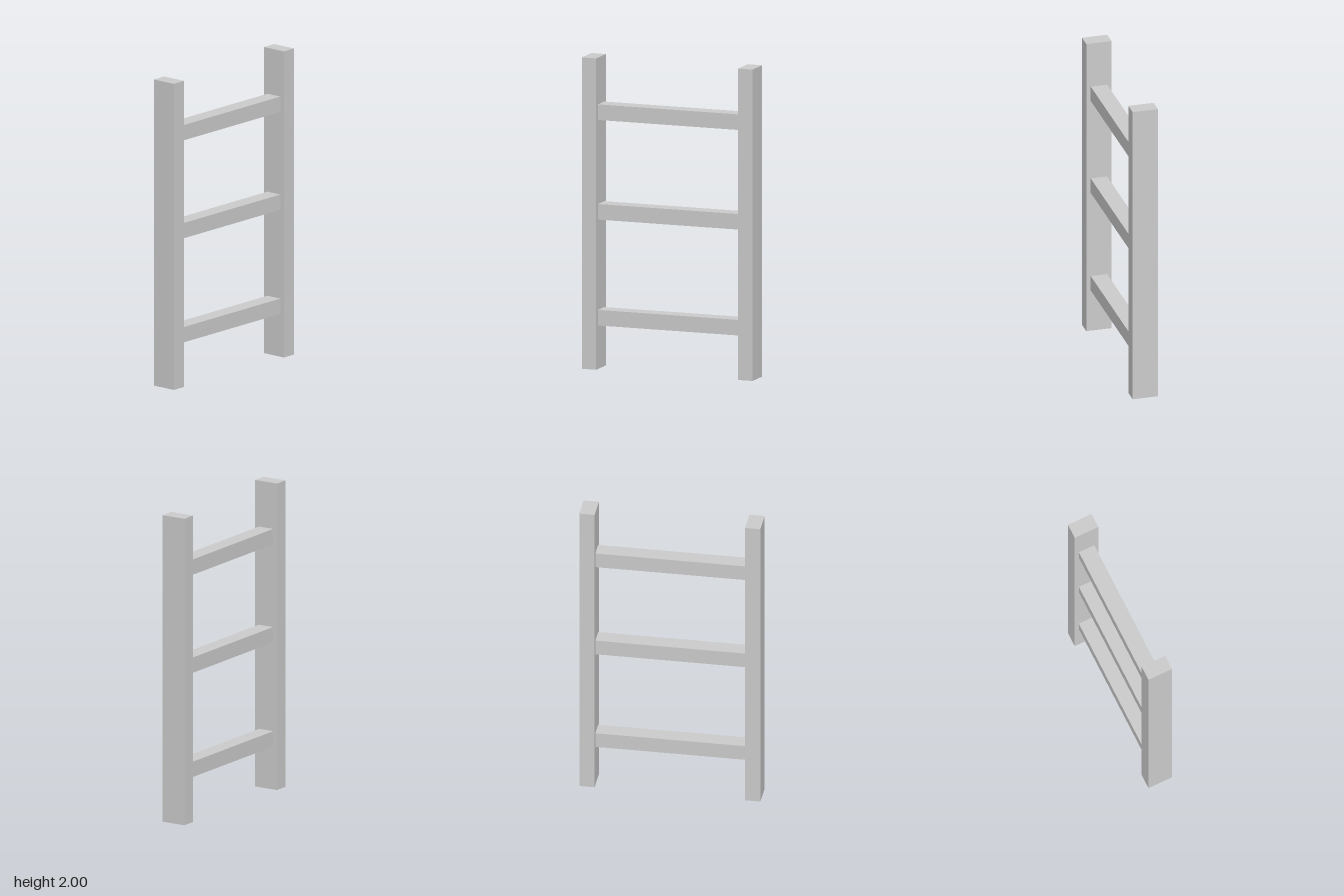
import * as THREE from 'three';

const material = new THREE.MeshStandardMaterial({ color: 0xcccccc, flatShading: true, side: THREE.DoubleSide });

function addBox(group, name, geometry, y, z) {
  const mesh = new THREE.Mesh(geometry, material);
  mesh.name = name;
  mesh.position.set(0, y, z);
  group.add(mesh);
}

// Box without its underside, the fourth face of a BoxGeometry
function openBottomBox(width, height, depth) {
  const geometry = new THREE.BoxGeometry(width, height, depth);
  const index = Array.from(geometry.index.array);
  index.splice(18, 6);
  geometry.setIndex(index);
  geometry.clearGroups();
  return geometry;
}

export function createModel() {
  const group = new THREE.Group();
  group.name = 'ladder';

  // Two upright rails, hollow at the foot
  const rail = openBottomBox(0.166, 2, 0.098);
  addBox(group, 'frontRail', rail, 1, 0.531);
  addBox(group, 'backRail', rail, 1, -0.531);

  // Three rungs between the rails
  const rung = new THREE.BoxGeometry(0.108, 0.1, 0.964);
  const names = ['lowerRung', 'middleRung', 'upperRung'];
  [0.33, 1.01, 1.65].forEach((y, i) => addBox(group, names[i], rung, y, 0));

  return group;
}
